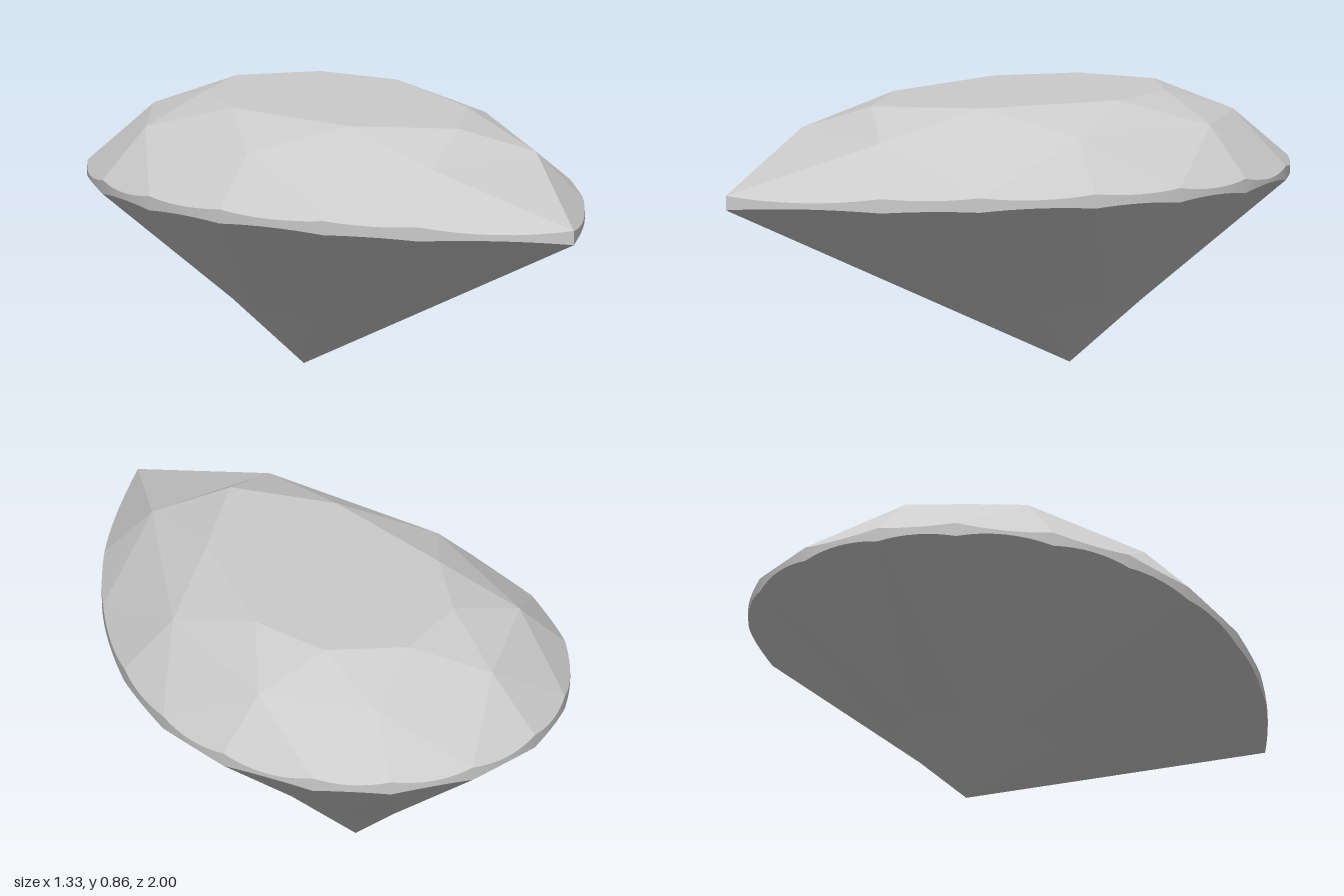
import * as THREE from 'three';
import { toCreasedNormals } from 'three/addons/utils/BufferGeometryUtils.js';

const V = (x, y, z) => new THREE.Vector3(x, y, z);
const GIRDLE_TOP = 0.625, GIRDLE_BOTTOM = 0.58, STEPS = 8;
const CENTRE = V(0, 0.5, -0.2);
const CULET = V(0, 0, -0.3);

// Pear outline of the +x half: elliptical back (s 0..1), curve to the tip (s 1..2)
const tipCurve = new THREE.CubicBezierCurve(
  new THREE.Vector2(0.667, -0.25), new THREE.Vector2(0.667, 0.2),
  new THREE.Vector2(0.38, 0.69), new THREE.Vector2(0, 1));
function outline(s) {
  if (s > 1) return tipCurve.getPoint(s - 1);
  const a = s * Math.PI / 2;
  return new THREE.Vector2(0.667 * Math.sin(a), -0.25 - 0.75 * Math.cos(a));
}
// Facet corners on the girdle: even = main corner, odd = half corner
const KNOTS = [0, 0.255, 0.48, 0.755, 1, 1.215, 1.47, 1.675, 2];
// Table corners and crown middle corners of the +x half, as x, z
const TABLE = [[0, -0.62], [0.233, -0.5], [0.333, -0.25], [0.235, 0.2], [0, 0.45]];
const MIDDLE = [[0.21, -0.77], [0.473, -0.5], [0.48, 0], [0.212, 0.565]];

// Collects triangles, each turned to face away from the centre
class Facets {
  constructor() { this.points = []; }
  tri(a, b, c) {
    const n = b.clone().sub(a).cross(c.clone().sub(a));
    const outward = n.dot(a.clone().add(b).add(c).divideScalar(3).sub(CENTRE)) > 0;
    this.points.push(...(outward ? [a, b, c] : [a, c, b]));
  }
  quad(a, b, c, d) { this.tri(a, b, c); this.tri(a, c, d); }
  mesh(name, smooth) {
    let geo = new THREE.BufferGeometry().setFromPoints(this.points);
    geo.computeVertexNormals();
    if (smooth) geo = toCreasedNormals(geo, 0.4);
    const mesh = new THREE.Mesh(geo, new THREE.MeshStandardMaterial({ color: 0xcccccc, flatShading: !smooth }));
    mesh.name = name;
    return mesh;
  }
}

// Curved girdle edge of the flat facet through apex and two girdle corners
function scallop(apex, k, y, side) {
  const at = (s) => { const p = outline(s); return V(side * p.x, y, p.y); };
  const plane = new THREE.Plane().setFromCoplanarPoints(apex, at(KNOTS[k]), at(KNOTS[k + 1]));
  const edge = [];
  for (let i = 0; i <= STEPS; i++) {
    const p = at(THREE.MathUtils.lerp(KNOTS[k], KNOTS[k + 1], i / STEPS));
    p.y = -(plane.normal.x * p.x + plane.normal.z * p.z + plane.constant) / plane.normal.y;
    edge.push(p);
  }
  return edge;
}

export function createModel() {
  const table = new Facets(), stars = new Facets(), bezels = new Facets(), upperHalves = new Facets();
  const girdle = new Facets(), lowerHalves = new Facets(), mains = new Facets();

  for (const side of [1, -1]) {
    const T = TABLE.map(([x, z]) => V(side * x, 0.86, z));
    const M = MIDDLE.map(([x, z]) => V(side * x, 0.778, z));
    const rim = (k, y) => { const p = outline(KNOTS[k]); return V(side * p.x, y, p.y); };
    // Pavilion corners on the ridges running to the culet
    const P = T.map((_, i) => {
      const p = CULET.clone().lerp(rim(2 * i, GIRDLE_BOTTOM), i === 4 ? 0.345 : 0.333);
      p.y = 0.2;
      return p;
    });

    for (let i = 0; i < 4; i++) {
      table.tri(V(0, 0.86, -0.1), T[i], T[i + 1]);
      stars.tri(T[i], T[i + 1], M[i]);
      // Main pavilion kite from culet to the half corner
      mains.tri(CULET, P[i], P[i + 1]);
      mains.tri(P[i], P[i + 1], rim(2 * i + 1, GIRDLE_BOTTOM));
    }
    // Crown kites; those on the centre line are finished by the other side
    for (let i = 0; i < 5; i++) {
      const mirror = (v) => V(-v.x, v.y, v.z);
      const a = i > 0 ? M[i - 1] : mirror(M[0]);
      const b = i < 4 ? M[i] : mirror(M[3]);
      if (side < 0 && (i === 0 || i === 4)) continue;
      bezels.tri(T[i], a, b);
      bezels.tri(a, b, rim(2 * i, GIRDLE_TOP));
    }
    // Half facets above and below, with the girdle band between them
    for (let k = 0; k < 8; k++) {
      const apexTop = M[k >> 1], apexLow = P[(k + 1) >> 1];
      const top = scallop(apexTop, k, GIRDLE_TOP, side);
      const low = scallop(apexLow, k, GIRDLE_BOTTOM, side);
      for (let j = 0; j < STEPS; j++) {
        upperHalves.tri(apexTop, top[j], top[j + 1]);
        lowerHalves.tri(apexLow, low[j], low[j + 1]);
        girdle.quad(top[j], top[j + 1], low[j + 1], low[j]);
      }
    }
  }

  const gem = new THREE.Group();
  gem.name = 'pearCutGem';
  gem.add(
    table.mesh('table'), stars.mesh('starFacets'), bezels.mesh('bezelFacets'),
    upperHalves.mesh('upperGirdleFacets'), girdle.mesh('girdle', true),
    lowerHalves.mesh('lowerGirdleFacets'), mains.mesh('pavilionMainFacets'));
  return gem;
}
